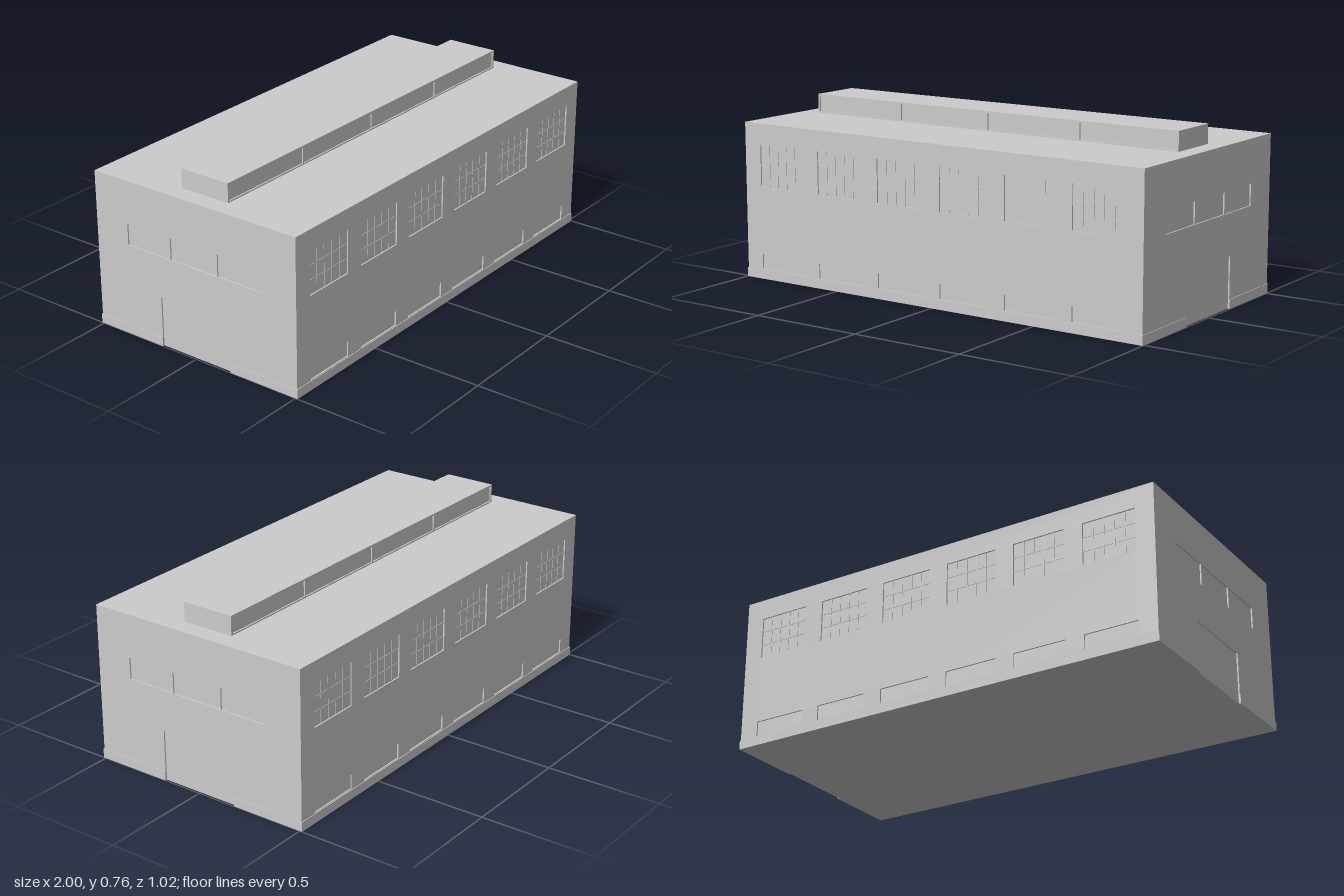
import * as THREE from 'three';

const X = 0.997, Z = 0.508, H = 0.68; // wall faces and roof height
const T = 0.006;                      // depth of the window recesses
const DOOR_W = 0.354, DOOR_H = 0.22, BASE_H = 0.04;
const mat = new THREE.MeshStandardMaterial({ color: 0xcccccc, flatShading: true });

function box(parent, name, w, h, d, x, y, z) {
  const m = new THREE.Mesh(new THREE.BoxGeometry(w, h, d), mat);
  m.name = name;
  m.position.set(x, y, z);
  parent.add(m);
  return m;
}

// Thin facade panel facing +z, pierced by openings [x0, y0, x1, y1]
function panel(parent, name, w, y0, y1, openings, doorWay) {
  const s = new THREE.Shape();
  s.moveTo(-w / 2, y0);
  if (doorWay) {
    s.lineTo(-DOOR_W / 2, y0);
    s.lineTo(-DOOR_W / 2, DOOR_H);
    s.lineTo(DOOR_W / 2, DOOR_H);
    s.lineTo(DOOR_W / 2, y0);
  }
  s.lineTo(w / 2, y0);
  s.lineTo(w / 2, y1);
  s.lineTo(-w / 2, y1);
  s.closePath();
  for (const [a, b, c, d] of openings) {
    const hole = new THREE.Path();
    hole.moveTo(a, b);
    hole.lineTo(a, d);
    hole.lineTo(c, d);
    hole.lineTo(c, b);
    hole.closePath();
    s.holes.push(hole);
  }
  const m = new THREE.Mesh(new THREE.ExtrudeGeometry(s, { depth: T, bevelEnabled: false }), mat);
  m.name = name;
  parent.add(m);
}

// Glazing bars inside one opening, standing just proud of the glass
function bars(parent, [a, b, c, d], cols, rows) {
  const t = 0.004, dz = 0.002;
  for (let i = 1; i < cols; i++)
    box(parent, 'glazingBar', t, d - b, dz, a + (c - a) * i / cols, (b + d) / 2, dz / 2);
  for (let j = 1; j < rows; j++)
    box(parent, 'glazingBar', c - a, t, dz, (a + c) / 2, b + (d - b) * j / rows, dz / 2);
}

// Long side: six tall windows above six low ones
function longSide() {
  const g = new THREE.Group();
  const upper = [], lower = [];
  for (let i = 0; i < 6; i++) {
    const x = -0.913 + i * 0.3182;
    upper.push([x, 0.405, x + 0.235, 0.59]);
    lower.push([x, 0.043, x + 0.235, 0.108]);
  }
  panel(g, 'longWall', 2 * X, 0, H, [...upper, ...lower]);
  upper.forEach(o => bars(g, o, 5, 3));
  box(g, 'plinth', 2, BASE_H, 0.003, 0, BASE_H / 2, T + 0.0015);
  return g;
}

// End wall: window band over a wide door
function endSide() {
  const g = new THREE.Group();
  const windows = [[-0.343, -0.122], [-0.118, 0.118], [0.122, 0.343]].map(([a, c]) => [a, 0.4, c, 0.493]);
  panel(g, 'endWall', 2 * (Z - T), 0, H, windows, true);
  const w = Z + 0.003 - DOOR_W / 2;
  for (const s of [-1, 1])
    box(g, 'plinth', w, BASE_H, 0.003, s * (DOOR_W + w) / 2, BASE_H / 2, T + 0.0015).position.x = s * (DOOR_W / 2 + w / 2);
  return g;
}

// Roof lantern with four glazed bays along each side
function lantern() {
  const g = new THREE.Group();
  const hx = 0.917, hz = 0.117, top = 0.763;
  box(g, 'lanternCore', 2 * hx, top - H, 2 * (hz - T), 0, (top + H) / 2, 0);
  const bays = [];
  for (let i = 0; i < 4; i++) {
    const x = -0.908 + i * 0.4555;
    bays.push([x, H + 0.006, x + 0.4495, top - 0.008]);
  }
  for (const s of [0, 1]) {
    const side = new THREE.Group();
    side.name = 'lanternSide';
    panel(side, 'lanternFrame', 2 * hx, H, top, bays);
    side.position.z = (s ? -1 : 1) * (hz - T);
    side.rotation.y = s * Math.PI;
    g.add(side);
  }
  return g;
}

export function createModel() {
  const model = new THREE.Group();
  model.name = 'hallBuilding';

  // Inner block forms the glass, door leaves, roof and floor
  box(model, 'buildingCore', 2 * (X - T), H, 2 * (Z - T), 0, H / 2, 0);

  for (const s of [0, 1]) {
    const sign = s ? -1 : 1;
    const long = longSide();
    long.name = s ? 'backSide' : 'frontSide';
    long.position.z = sign * (Z - T);
    long.rotation.y = s * Math.PI;

    const end = endSide();
    end.name = s ? 'rightEnd' : 'leftEnd';
    end.position.x = sign * (X - T);
    end.rotation.y = sign * Math.PI / 2;
    model.add(long, end);
  }

  const roofLantern = lantern();
  roofLantern.name = 'roofLantern';
  model.add(roofLantern);
  return model;
}
